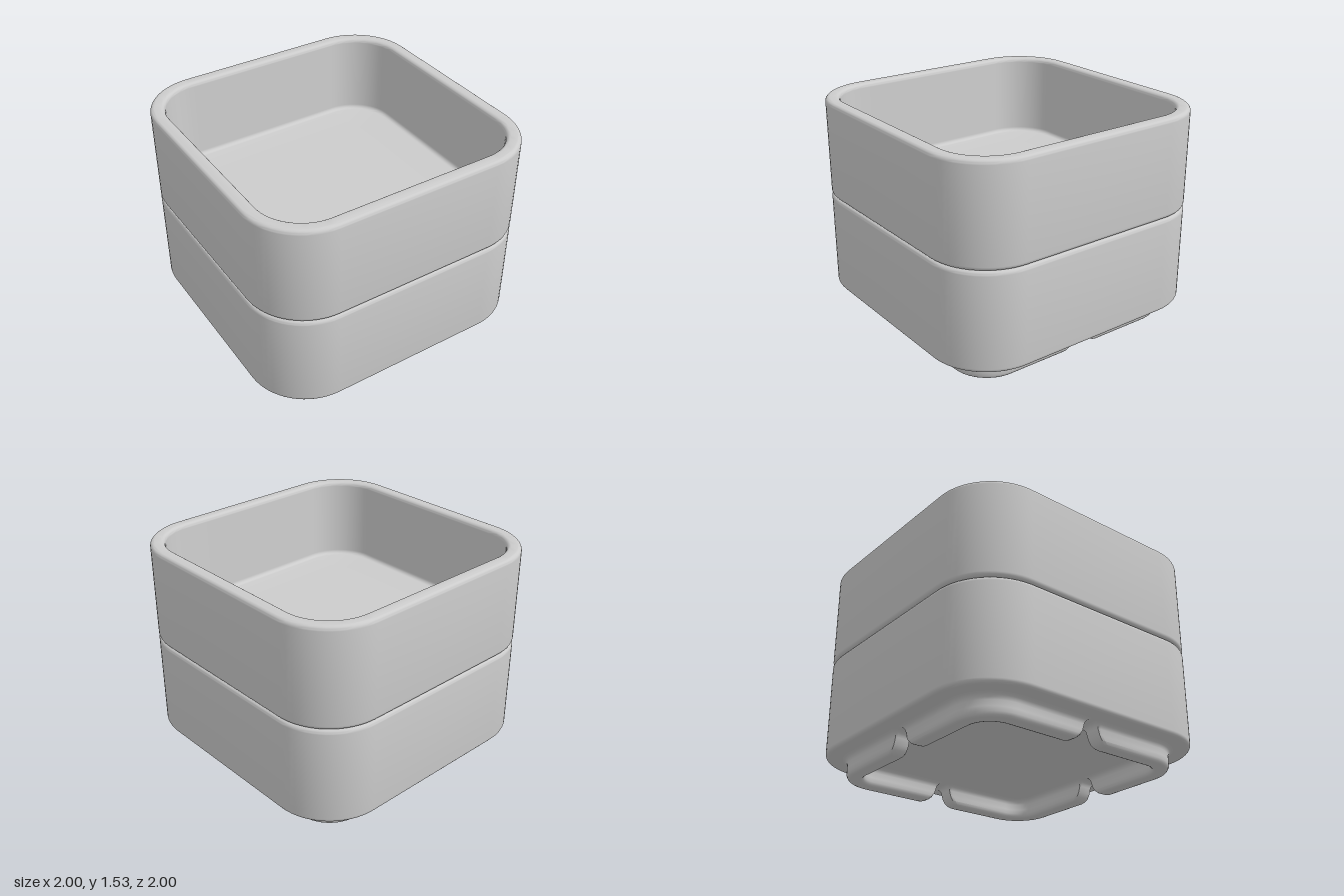
import * as THREE from 'three';
import { toCreasedNormals } from 'three/addons/utils/BufferGeometryUtils.js';

const CORNER = 0.58; // centre of every rounded corner, shared by all outlines
const ARC = 16;

// Skins consecutive outlines (arrays of Vector3) into triangles
function loft(loops, closed, out) {
  const n = loops[0].length;
  const tri = (a, b, c) => {
    const area = b.clone().sub(a).cross(c.clone().sub(a)).length();
    if (area > 1e-8) for (const p of [a, b, c]) out.push(p.x, p.y, p.z);
  };
  for (let i = 0; i < loops.length - 1; i++) {
    for (let j = 0; j < (closed ? n : n - 1); j++) {
      const k = (j + 1) % n;
      tri(loops[i][j], loops[i][k], loops[i + 1][k]);
      tri(loops[i][j], loops[i + 1][k], loops[i + 1][j]);
    }
  }
}

function finish(positions) {
  const g = new THREE.BufferGeometry();
  g.setAttribute('position', new THREE.Float32BufferAttribute(positions, 3));
  return toCreasedNormals(g, 0.6);
}

// Rounded square of half-width s at height y
function roundedSquare(s, y) {
  const c = Math.min(CORNER, s), r = s - c, pts = [];
  for (let q = 0; q < 4; q++) {
    const mid = Math.PI / 4 - q * Math.PI / 2;
    const cx = Math.sign(Math.cos(mid)) * c, cz = Math.sign(Math.sin(mid)) * c;
    for (let i = 0; i <= ARC; i++) {
      const a = mid + Math.PI / 4 - (i / ARC) * Math.PI / 2;
      pts.push(new THREE.Vector3(cx + r * Math.cos(a), y, cz + r * Math.sin(a)));
    }
  }
  return pts;
}

// Quarter-circle fillet in the wall profile
function fillet(cx, cy, r, from, to) {
  return Array.from({ length: 7 }, (_, i) => {
    const a = THREE.MathUtils.degToRad(from + (to - from) * i / 6);
    return [cx + r * Math.cos(a), cy + r * Math.sin(a)];
  });
}

// Open tray: underside, outer wall, rim, inner wall, floor
function trayGeometry() {
  const bottom = 0.14, top = 0.835, floor = 0.24, r = 0.03;
  const profile = [
    [0, bottom], [CORNER, bottom],
    ...fillet(1 - r, bottom + r, r, -90, 0),
    ...fillet(1 - r, top - r, r, 0, 90),
    ...fillet(0.9 + r, top - r, r, 90, 180),
    ...fillet(0.9 - r, floor + r, r, 0, -90),
    [CORNER, floor], [0, floor],
  ];
  const out = [];
  loft(profile.map(([s, y]) => roundedSquare(s, y)), true, out);
  return finish(out);
}

// One side of the L-shaped foot outline; k = 1 outer, -1 inner
function footSide(s, y, gap, k) {
  const e = 0.025, r = s - CORNER;
  const pts = [[gap, s - k * e], [gap + 0.3 * e, s - 0.3 * k * e], [gap + e, s]];
  for (let i = 0; i <= ARC; i++) {
    const a = (1 - i / ARC) * Math.PI / 2;
    pts.push([CORNER + r * Math.cos(a), CORNER + r * Math.sin(a)]);
  }
  pts.push([s, gap + e], [s - 0.3 * k * e, gap + 0.3 * e], [s - k * e, gap]);
  return pts.map(([x, z]) => new THREE.Vector3(x, y, z));
}

// Corner foot: horizontal outlines stacked from the rounded base to the flared top
function footGeometry() {
  // height, outward growth, distance of the end from the side's middle
  const levels = [
    [0, -0.03, 0.15], [0.004, -0.017, 0.125], [0.012, -0.008, 0.105], [0.03, 0, 0.085],
    [0.06, 0, 0.065], [0.1, 0, 0.052], [0.115, 0.004, 0.048],
    [0.127, 0.012, 0.04], [0.135, 0.022, 0.032], [0.14, 0.035, 0.02],
  ];
  const sides = levels.map(([y, t, gap]) => [
    footSide(0.85 + t, y, gap, 1), footSide(0.73 - t, y, gap, -1),
  ]);
  const out = [];
  loft(sides.map(([o, i]) => [...o, ...i.slice().reverse()]), true, out);
  loft([sides[0][1], sides[0][0]], false, out); // base
  return finish(out);
}

export function createModel() {
  const model = new THREE.Group();
  model.name = 'stackedTrays';
  const material = new THREE.MeshStandardMaterial({ color: 0xcccccc });
  const tray = trayGeometry(), foot = footGeometry();

  // Two identical trays, the upper one's feet nesting inside the lower
  ['lowerTray', 'upperTray'].forEach((name, level) => {
    const group = new THREE.Group();
    group.name = name;
    group.position.y = level * 0.695;
    const body = new THREE.Mesh(tray, material);
    body.name = 'trayBody';
    group.add(body);
    for (let q = 0; q < 4; q++) {
      const mesh = new THREE.Mesh(foot, material);
      mesh.name = 'cornerFoot';
      mesh.rotation.y = q * Math.PI / 2;
      group.add(mesh);
    }
    model.add(group);
  });
  return model;
}
